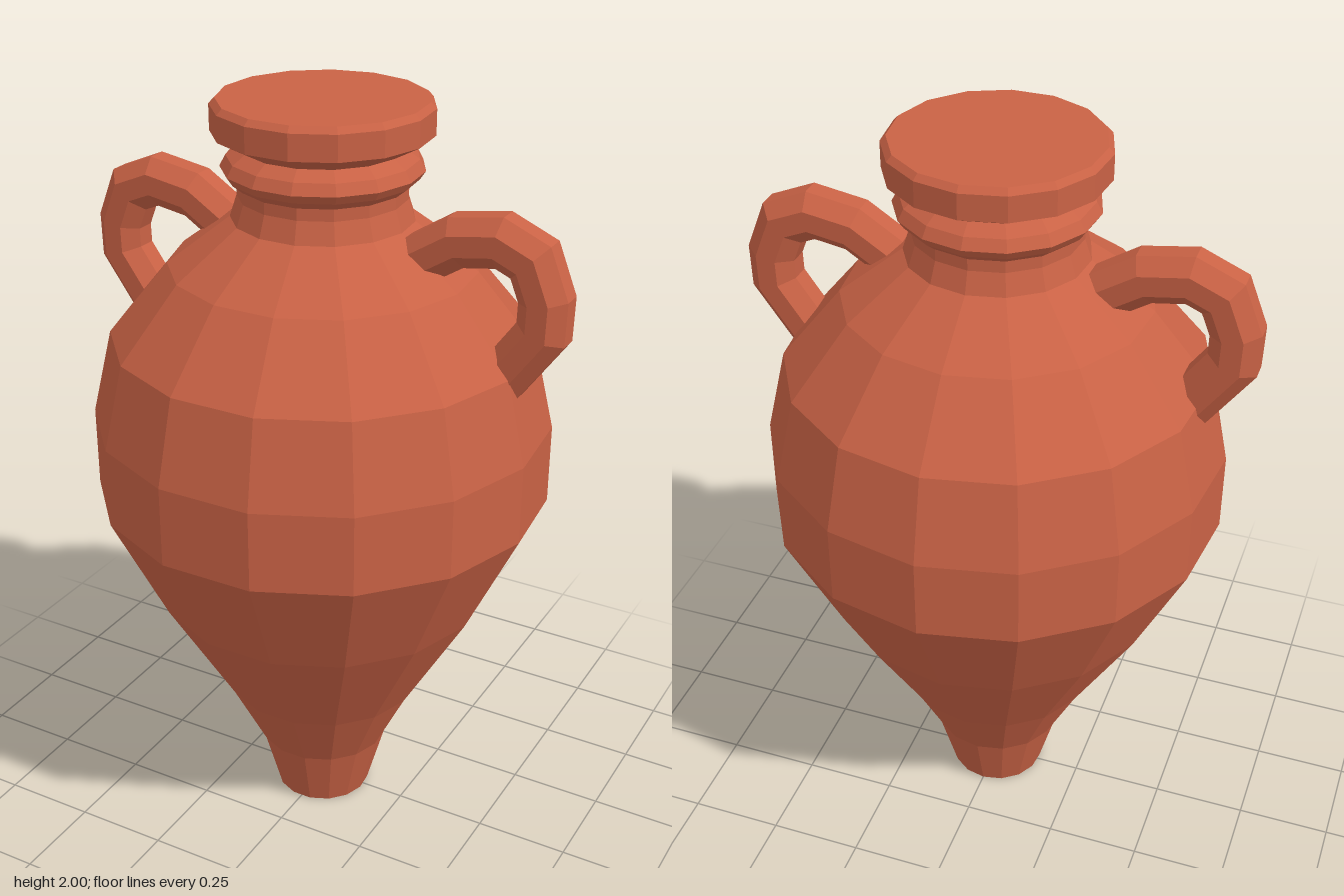
import * as THREE from 'three';

const SIDES = 15;
const AXIS_Z = 0.006; // centres the odd-sided body front to back

const clay = new THREE.MeshStandardMaterial({ color: 0xc96245, flatShading: true });

// Turned part: [radius, height] pairs from bottom to top
function turned(name, profile) {
  const points = profile.map(([r, y]) => new THREE.Vector2(r, y));
  const mesh = new THREE.Mesh(new THREE.LatheGeometry(points, SIDES, Math.PI), clay);
  mesh.name = name;
  return mesh;
}

// Sweeps an octagon with flat sides along a path in the xy plane, with mitred bends
function sweptBar(path, apothem, sides = 8) {
  const pts = path.map(([x, y]) => new THREE.Vector2(x, y));
  const radius = apothem / Math.cos(Math.PI / sides);
  const positions = [];
  const index = [];
  pts.forEach((p, i) => {
    const a = p.clone().sub(pts[Math.max(i - 1, 0)]).normalize();
    const b = pts[Math.min(i + 1, pts.length - 1)].clone().sub(p).normalize();
    const t = a.clone().add(b).normalize();
    const miter = 1 / Math.max(t.dot(i ? a : b), 0.5);
    for (let j = 0; j < sides; j++) {
      const angle = ((j + 0.5) / sides) * Math.PI * 2;
      const off = radius * Math.cos(angle) * miter;
      positions.push(p.x - t.y * off, p.y + t.x * off, radius * Math.sin(angle));
      if (i < pts.length - 1) {
        const k = (j + 1) % sides;
        const r0 = i * sides;
        const r1 = r0 + sides;
        index.push(r0 + j, r0 + k, r1 + k, r0 + j, r1 + k, r1 + j);
      }
    }
  });
  // End caps
  const last = (pts.length - 1) * sides;
  for (let j = 1; j < sides - 1; j++) {
    index.push(0, j + 1, j, last, last + j, last + j + 1);
  }
  const geometry = new THREE.BufferGeometry();
  geometry.setAttribute('position', new THREE.Float32BufferAttribute(positions, 3));
  geometry.setIndex(index);
  geometry.computeVertexNormals();
  return geometry;
}

export function createModel() {
  const model = new THREE.Group();
  model.name = 'amphora';
  const jar = new THREE.Group();
  jar.name = 'jar';
  jar.position.z = AXIS_Z;
  model.add(jar);

  // Tapered foot, belly and shoulder
  jar.add(turned('body', [
    [0, 0], [0.13, 0], [0.178, 0.175], [0.27, 0.36], [0.45, 0.67],
    [0.594, 0.97], [0.594, 1.18], [0.542, 1.4], [0.39, 1.585], [0.23, 1.705],
  ]));

  // Neck with a raised collar
  jar.add(turned('neck', [
    [0.23, 1.705], [0.212, 1.76], [0.212, 1.79], [0.237, 1.81],
    [0.252, 1.832], [0.237, 1.86], [0.205, 1.883],
  ]));

  // Closed rim
  jar.add(turned('rim', [
    [0.205, 1.883], [0.274, 1.92], [0.274, 1.985], [0.26, 2], [0, 2],
  ]));

  // Looped handles, one each side
  const handleGeometry = sweptBar([
    [0.25, 1.63], [0.37, 1.706], [0.482, 1.724], [0.562, 1.69],
    [0.599, 1.598], [0.597, 1.517], [0.485, 1.36],
  ], 0.062);
  for (const [name, turn] of [['leftHandle', 0], ['rightHandle', Math.PI]]) {
    const handle = new THREE.Mesh(handleGeometry, clay);
    handle.name = name;
    handle.rotation.y = turn;
    jar.add(handle);
  }

  return model;
}
